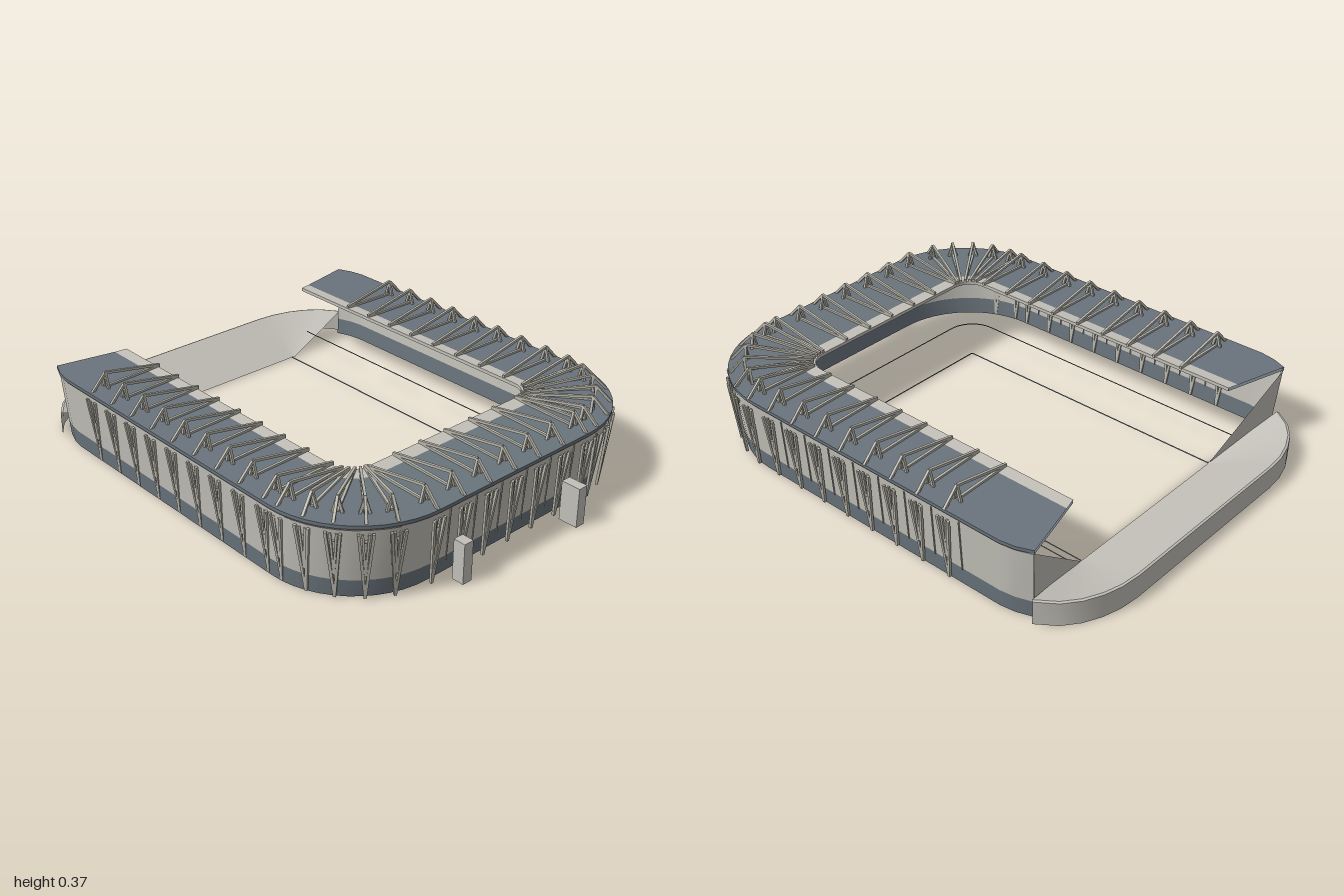
import * as THREE from 'three';

const mat = (name, color, side = THREE.DoubleSide) => {
  const m = new THREE.MeshStandardMaterial({ color, side });
  m.name = name;
  return m;
};
const concrete = mat('concrete grey', 0xc2c0b8);
const slate = mat('slate', 0x6a747c);
const steel = mat('steel grey', 0xb6b4a9);
const endGrey = mat('end wall grey', 0xc2c0b8, THREE.FrontSide);

const V = (x, y, z) => new THREE.Vector3(x, y, z);
const mirrorRing = half => [...half, ...half.slice().reverse().map(p => V(-p.x, p.y, p.z))];

// U-shaped plan line open at the back: half width x, front zf, corner radius r,
// back end zb, with the last bit turned inwards by e
function uRing(y, x, zf, r, zb, e = 0) {
  const half = [V(x - e, y, zb), V(x - e * 0.3, y, zb + 0.06), V(x, y, zb + 0.12)];
  for (let i = 0; i <= 12; i++) {
    const a = (i / 12) * Math.PI / 2;
    half.push(V(x - r + r * Math.cos(a), y, zf - r + r * Math.sin(a)));
  }
  return mirrorRing(half);
}

// Surface between two plan lines; a = lower or outer one
function strip(name, a, b, material) {
  const pos = [], idx = [];
  a.forEach((p, i) => {
    pos.push(...p.toArray(), ...b[i].toArray());
    if (i < a.length - 1) {
      const k = i * 2;
      idx.push(k, k + 1, k + 2, k + 1, k + 3, k + 2);
    }
  });
  const g = new THREE.BufferGeometry();
  g.setAttribute('position', new THREE.Float32BufferAttribute(pos, 3));
  g.setIndex(idx);
  g.computeVertexNormals();
  const m = new THREE.Mesh(g, material);
  m.name = name;
  return m;
}

// Square bar from a to b
function strut(name, a, b, width) {
  const m = new THREE.Mesh(new THREE.BoxGeometry(width, a.distanceTo(b), width), steel);
  m.position.copy(a).lerp(b, 0.5);
  m.quaternion.setFromUnitVectors(V(0, 1, 0), b.clone().sub(a).normalize());
  m.name = name;
  return m;
}

// One support frame; local +z points outwards, origin under the roof's outer edge
function supportFrame(x, z, nx, nz, reach, finOffset) {
  const g = new THREE.Group();
  g.name = 'supportFrame';
  const foot = V(0, 0.005, -0.026), apex = V(0, 0.367, -0.07);
  for (const s of [-1, 1]) {
    g.add(strut('columnArm', foot, V(s * 0.025, 0.27, 0.002), 0.01));
    g.add(strut('columnBrace', V(0, 0.1, -0.016), V(s * 0.011, 0.265, -0.006), 0.008));
    g.add(strut('mastLeg', V(s * 0.017, 0.305, -0.07), apex, 0.01));
  }
  g.add(strut('outerTie', V(0, 0.3, -0.006), apex, 0.01));
  g.add(strut('innerTie', apex, V(0, 0.32, -reach), 0.01));
  g.add(strut('roofBeam', V(0, 0.309, -0.07), V(0, 0.317, -reach), 0.01));
  g.add(strut('wallBracket', V(0, 0.23, -0.01), V(0, 0.285, -0.05), 0.008));
  if (finOffset) g.add(strut('wallFin', V(finOffset, 0.07, -0.023), V(finOffset, 0.28, -0.008), 0.004));
  g.position.set(x, 0, z);
  g.rotation.y = Math.atan2(nx, nz);
  return g;
}

export function createModel() {
  const model = new THREE.Group();
  const bowl = new THREE.Group();
  bowl.name = 'bowl';
  bowl.position.x = -0.006;
  model.add(bowl);

  // Outer wall: slate plinth, flared grey cladding, eave
  const w0 = uRing(0, 0.748, 0.868, 0.37, -0.8, 0.03);
  const w1 = uRing(0.07, 0.753, 0.878, 0.375, -0.803, 0.03);
  const w2 = uRing(0.28, 0.768, 0.91, 0.395, -0.812, 0.03);
  const r0 = uRing(0.292, 0.777, 0.92, 0.4, -0.82, 0.035);
  bowl.add(strip('plinth', w0, w1, slate));
  bowl.add(strip('wallCladding', w1, w2, concrete));
  bowl.add(strip('eave', w2, r0, concrete));

  // Roof: fascia, slate top and underside, light inner strip
  const r1 = uRing(0.305, 0.777, 0.92, 0.4, -0.82, 0.035);
  const r2 = uRing(0.311, 0.51, 0.63, 0.13, -0.762);
  const r3 = uRing(0.314, 0.462, 0.572, 0.085, -0.75);
  const r4 = uRing(0.3, 0.462, 0.572, 0.085, -0.75);
  bowl.add(strip('roofFascia', r0, r1, slate));
  bowl.add(strip('roofTop', r1, r2, slate));
  bowl.add(strip('roofInnerStrip', r2, r3, concrete));
  bowl.add(strip('roofInnerEdge', r4, r3, concrete));
  bowl.add(strip('roofUnderside', r4, r0, slate));

  // Slim rails around the pitch
  const rail = (y, x, zf, r, zb, h) =>
    bowl.add(strip('pitchRail', uRing(y, x, zf, r, zb), uRing(y + h, x, zf, r, zb), slate));
  rail(0, 0.39, 0.49, 0.01, -0.74, 0.006);
  rail(0.085, 0.5, 0.6, 0.12, -0.765, 0.005);

  // Triangular end walls facing the back
  for (const s of [-1, 1]) {
    const pts = [V(s * 0.74, 0.29, -0.818), V(s * 0.718, 0, -0.8), V(s * 0.39, 0, -0.74)];
    if (s < 0) pts.reverse();
    const g = new THREE.BufferGeometry().setFromPoints(pts);
    g.computeVertexNormals();
    const m = new THREE.Mesh(g, endGrey);
    m.name = 'endWall';
    bowl.add(m);
  }

  // Low open stand at the back
  const plan = [[0.748, -0.82], [0.695, -0.893], [0.635, -0.94], [0.565, -0.973], [0.49, -0.993], [0.41, -1]];
  const outer = (y, k) => mirrorRing(plan.map(([x, z]) => V(x * k, y, z * k)));
  const inner = mirrorRing(plan.map((p, i) => V(0.4 - i * 0.004, 0.002, -0.735 - i * 0.001)));
  bowl.add(strip('backStandWall', outer(0, 1), outer(0.095, 1), concrete));
  bowl.add(strip('backStandRim', outer(0.095, 1), outer(0.098, 0.992), concrete));
  bowl.add(strip('backStandSlope', outer(0.098, 0.992), inner, concrete));

  // Support frames: sides, front and corners
  for (let i = 0; i < 9; i++) model.add(supportFrame(-0.777, -0.535 + i * 0.127, -1, 0, 0.315, 0.063));
  for (let i = 0; i < 8; i++) model.add(supportFrame(0.775, -0.455 + i * 0.1265, 1, 0, 0.315, 0.063));
  for (let i = 0; i < 7; i++) model.add(supportFrame(-0.39 + i * 0.126, 0.92, 0, 1, 0.345, 0.063));
  for (const [s, count] of [[-1, 5], [1, 6]]) {
    for (let i = 0; i < count; i++) {
      const a = (4 + i * 15.5) * Math.PI / 180;
      const nx = s * Math.cos(a), nz = Math.sin(a);
      model.add(supportFrame(s * 0.375 + 0.4 * nx, 0.52 + 0.4 * nz, nx, nz, 0.315 + 0.03 * nz, 0));
    }
  }

  // Gate towers in front
  for (const [x, depth] of [[-0.295, 0.05], [0.26, 0.08]]) {
    const tower = new THREE.Mesh(new THREE.BoxGeometry(0.042, 0.16, depth), concrete);
    tower.position.set(x, 0.08, 0.92 + depth / 2);
    tower.name = 'gateTower';
    model.add(tower);
  }
  return model;
}
